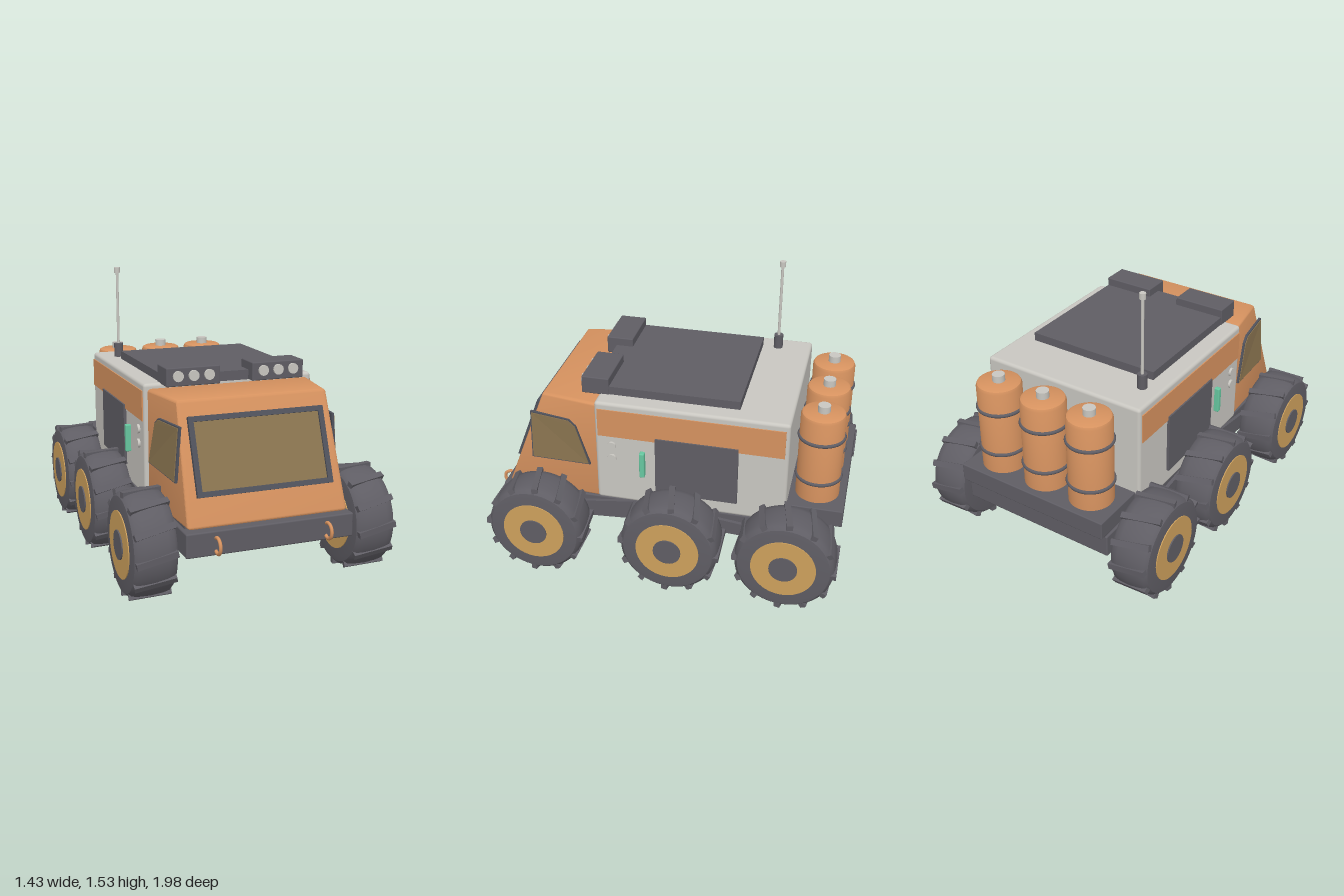
import * as THREE from 'three';
import { toCreasedNormals } from 'three/addons/utils/BufferGeometryUtils.js';
import { RoundedBoxGeometry } from 'three/addons/geometries/RoundedBoxGeometry.js';

const mat = (name, color) => new THREE.MeshStandardMaterial({ name, color });
const M = {
  orange: mat('orange paint', 0xd6925f),
  grey: mat('light grey', 0xc9c7c1),
  dark: mat('dark grey', 0x5f5d64),
  gold: mat('rim gold', 0xcda05c),
  glass: mat('bronze glass', 0x8a7450),
  frame: mat('window frame', 0x50525c),
  green: mat('green handle', 0x67c7a0),
};

function add(parent, name, geo, material, x = 0, y = 0, z = 0) {
  const m = new THREE.Mesh(geo, material);
  m.name = name;
  m.position.set(x, y, z);
  parent.add(m);
  return m;
}

// Box given by its ranges, optionally with rounded edges
function box(parent, name, material, [x0, x1], [y0, y1], [z0, z1], r = 0) {
  const s = [x1 - x0, y1 - y0, z1 - z0];
  const geo = r ? new RoundedBoxGeometry(...s, 2, r) : new THREE.BoxGeometry(...s);
  return add(parent, name, geo, material, (x0 + x1) / 2, (y0 + y1) / 2, (z0 + z1) / 2);
}

const cyl = (r, h, n = 24) => new THREE.CylinderGeometry(r, r, h, n);
const lathe = (pts, n = 40) =>
  toCreasedNormals(new THREE.LatheGeometry(pts.map(p => new THREE.Vector2(...p)), n), 0.6);

function moveVertices(geo, rule) {
  const p = geo.attributes.position, v = new THREE.Vector3();
  for (let i = 0; i < p.count; i++) {
    rule(v.fromBufferAttribute(p, i));
    p.setXYZ(i, v.x, v.y, v.z);
  }
  return geo;
}

// Cab shape: sloping nose and sides that taper forward
const Y0 = 0.39, Y1 = 0.98, ZB = 0.355;
const noseZ = y => 0.9 - (y - Y0) / (Y1 - Y0) * 0.228;
const cabHalf = (y, z) => {
  const t = (z - ZB) / (noseZ(y) - ZB);
  const front = 0.43 - (y - Y0) / (Y1 - Y0) * 0.025;
  return 0.457 + (front - 0.457) * t;
};

function addCab(g) {
  const geo = moveVertices(new RoundedBoxGeometry(1, 1, 1, 2, 0.025), v => {
    v.y = Y0 + (v.y + 0.5) * (Y1 - Y0);
    v.z = ZB + (v.z + 0.5) * (noseZ(v.y) - ZB);
    v.x *= 2 * cabHalf(v.y, v.z);
  });
  add(g, 'cab', toCreasedNormals(geo, 0.5), M.orange);

  // Windshield lying on the nose slope
  const w = new THREE.Group();
  w.name = 'windshield';
  w.position.set(0, 0.715, noseZ(0.715));
  w.rotation.x = -Math.atan(0.228 / 0.59);
  g.add(w);
  box(w, 'windshieldGlass', M.glass, [-0.345, 0.345], [-0.18, 0.18], [0.002, 0.01]);
  for (const s of [-1, 1]) {
    add(w, 'windshieldFrameSide', new THREE.BoxGeometry(0.027, 0.396, 0.036), M.frame, s * 0.352, 0, 0.002);
    add(w, 'windshieldFrameBar', new THREE.BoxGeometry(0.73, 0.027, 0.036), M.frame, 0, s * 0.185, 0.002);
  }
}

// Side window plate that follows the cab side; grow < 1 shrinks it about its middle
function sideWindow(g, side, name, material, grow, depth) {
  const outline = [[0.745, 0.865], [0.745, 0.585], [0.4, 0.6], [0.475, 0.83], [0.515, 0.86]];
  const shape = new THREE.Shape(outline.map(([z, y]) =>
    new THREE.Vector2(-(0.6 + (z - 0.6) * grow), 0.72 + (y - 0.72) * grow)));
  const geo = new THREE.ExtrudeGeometry(shape, { depth, bevelEnabled: false });
  geo.rotateY(Math.PI / 2);
  if (side < 0) geo.translate(-depth, 0, 0);
  moveVertices(geo, v => { v.x += side * cabHalf(v.y, v.z); });
  geo.computeVertexNormals();
  add(g, name, geo, material);
}

function addWheel(g, side, z) {
  const w = new THREE.Group();
  w.name = 'wheel';
  w.position.set(side * 0.592, 0.276, z);
  w.rotation.z = -side * Math.PI / 2;
  g.add(w);
  add(w, 'tyre', lathe([[0, -0.112], [0.215, -0.112], [0.243, -0.108], [0.259, -0.092], [0.266, -0.06],
    [0.27, 0], [0.266, 0.06], [0.259, 0.092], [0.243, 0.108], [0.215, 0.112], [0, 0.112]], 48), M.dark);
  add(w, 'rim', cyl(0.172, 0.234, 32), M.gold);
  add(w, 'hub', cyl(0.075, 0.248), M.dark);
  // Skewed tread lugs
  const lug = new THREE.BoxGeometry(0.03, 0.212, 0.032);
  for (let i = 0; i < 12; i++) {
    const a = i / 12 * Math.PI * 2;
    const m = add(w, 'treadLug', lug, M.dark, Math.cos(a) * 0.26, 0, Math.sin(a) * 0.26);
    m.rotation.set(0.2, -a, 0, 'YXZ');
  }
  // Axle to the chassis
  add(g, 'axle', cyl(0.055, 0.13), M.dark, side * 0.43, 0.276, z).rotation.z = Math.PI / 2;
}

function addSuspensionArm(g, side) {
  const pts = [[0.667, 0.32], [0.1, 0.4], [-0.25, 0.36], [-0.705, 0.31],
    [-0.705, 0.25], [-0.25, 0.275], [0.1, 0.28], [0.667, 0.24]];
  const geo = new THREE.ExtrudeGeometry(new THREE.Shape(pts.map(([z, y]) => new THREE.Vector2(-z, y))),
    { depth: 0.02, bevelEnabled: false });
  geo.rotateY(Math.PI / 2);
  add(g, 'suspensionArm', geo, M.dark, side * 0.46 - 0.01);
}

function addSideDetails(g, side) {
  const range = (a, b) => (side > 0 ? [a, b] : [-b, -a]);
  box(g, 'sideStripe', M.orange, range(0.474, 0.483), [0.807, 0.968], [-0.655, 0.345]);
  box(g, 'sidePanel', M.dark, range(0.47, 0.492), [0.49, 0.83], [-0.415, 0.03]);
  box(g, 'doorHandle', M.green, range(0.47, 0.506), [0.585, 0.735], [0.087, 0.115], 0.006);
  for (const y of [0.672, 0.75])
    add(g, 'sideButton', cyl(0.024, 0.02, 20), M.grey, side * 0.48, y, 0.27).rotation.z = Math.PI / 2;
  sideWindow(g, side, 'sideWindowFrame', M.frame, 1, 0.014);
  sideWindow(g, side, 'sideWindowGlass', M.glass, 0.95, 0.018);
}

function addTank(g, x) {
  const t = new THREE.Group();
  t.name = 'tank';
  t.position.set(x, 0, -0.82);
  g.add(t);
  add(t, 'tankBody', lathe([[0, 0.49], [0.118, 0.49], [0.118, 0.98], [0.112, 0.994], [0.1, 1], [0, 1]]), M.orange);
  add(t, 'tankCap', cyl(0.033, 0.045), M.grey, 0, 1.015);
  for (const y of [0.615, 0.857])
    add(t, 'tankBand', new THREE.TorusGeometry(0.118, 0.01, 8, 40), M.dark, 0, y).rotation.x = Math.PI / 2;
}

function addLightBar(g, side) {
  const cx = side * 0.237;
  box(g, 'lightBar', M.dark, [cx - 0.147, cx + 0.147], [1.0, 1.098], [0.305, 0.455], 0.006);
  for (const dx of [-0.085, 0, 0.085])
    add(g, 'lamp', cyl(0.028, 0.03), M.grey, cx + dx, 1.054, 0.452).rotation.x = Math.PI / 2;
}

export function createModel() {
  const g = new THREE.Group();
  g.name = 'sixWheelRover';

  // Chassis and hull
  box(g, 'chassis', M.dark, [-0.45, 0.45], [0.26, 0.385], [-0.93, 0.93], 0.008);
  box(g, 'chassisSpacer', M.dark, [-0.43, 0.43], [0.37, 0.42], [-0.92, 0.85]);
  box(g, 'rearDeck', M.dark, [-0.45, 0.45], [0.4, 0.5], [-0.975, -0.64], 0.006);
  box(g, 'hull', M.grey, [-0.477, 0.477], [0.4, 1.006], [-0.675, 0.362], 0.018);
  box(g, 'roofPanel', M.dark, [-0.38, 0.38], [1.0, 1.052], [-0.4, 0.4]);
  addCab(g);

  for (const side of [-1, 1]) {
    for (const z of [0.665, -0.085, -0.705]) addWheel(g, side, z);
    addSuspensionArm(g, side);
    addSideDetails(g, side);
    addLightBar(g, side);
    const hook = add(g, 'towHook', new THREE.TorusGeometry(0.04, 0.009, 10, 28), M.orange, side * 0.297, 0.316, 0.95);
    hook.rotation.y = Math.PI / 2;
  }
  for (const x of [-0.282, 0, 0.282]) addTank(g, x);

  // Antenna
  add(g, 'antennaBase', cyl(0.026, 0.085, 16), M.dark, -0.37, 1.043, -0.487);
  add(g, 'antennaMast', cyl(0.008, 0.45, 12), M.grey, -0.37, 1.29, -0.487);
  add(g, 'antennaTip', cyl(0.017, 0.032, 16), M.grey, -0.37, 1.517, -0.487);
  return g;
}
